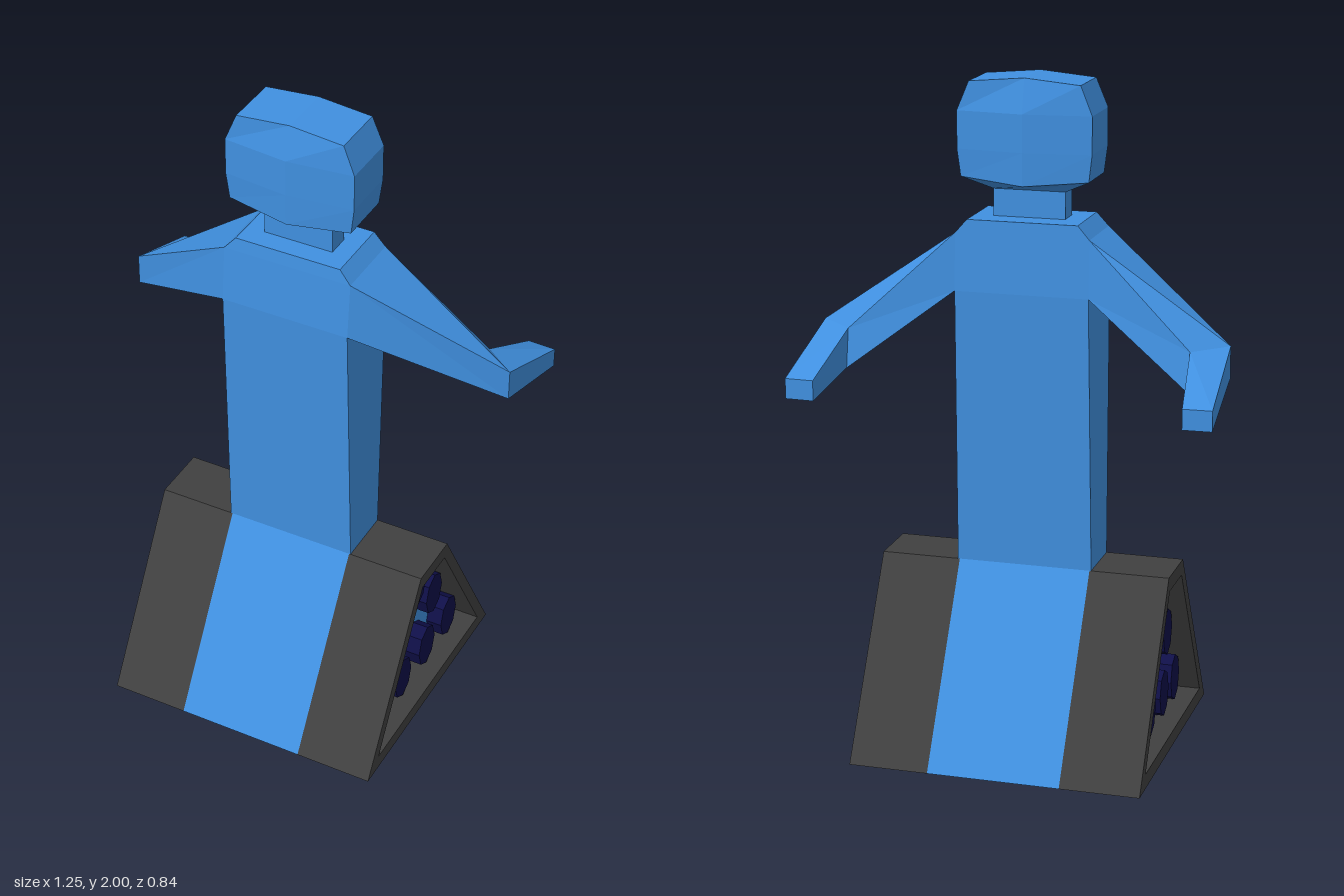
import * as THREE from 'three';

const mat = (color, side = THREE.FrontSide) =>
  new THREE.MeshStandardMaterial({ color, flatShading: true, side });
const blue = mat(0x4090e0);
const dark = mat(0x404040);
const navy = mat(0x0f0f48);

// Skin a list of cross-sections (counterclockwise seen from the end) and cap both ends
function loft(rings, flip = false) {
  const pos = [];
  const tri = (a, b, c) => pos.push(...a, ...(flip ? c : b), ...(flip ? b : c));
  const n = rings[0].length;
  for (let k = 0; k < rings.length - 1; k++) {
    const lo = rings[k], hi = rings[k + 1];
    for (let i = 0; i < n; i++) {
      const j = (i + 1) % n;
      tri(lo[i], lo[j], hi[j]);
      tri(lo[i], hi[j], hi[i]);
    }
  }
  const first = rings[0], last = rings[rings.length - 1];
  for (let i = 0; i < n - 2; i++) {
    tri(first[n - 1], first[i + 1], first[i]);
    tri(last[n - 1], last[i], last[i + 1]);
  }
  const g = new THREE.BufferGeometry();
  g.setAttribute('position', new THREE.Float32BufferAttribute(pos, 3));
  g.computeVertexNormals();
  return g;
}

// Trapezoid outline, extruded along x from x0 to x1
const trapezoid = (Type, y0, z0, y1, z1) => new Type(
  [[-z0, y0], [z0, y0], [z1, y1], [-z1, y1]].map(p => new THREE.Vector2(...p)));
function extrudeX(shape, x0, x1) {
  return new THREE.ExtrudeGeometry(shape, { depth: x1 - x0, bevelEnabled: false })
    .rotateY(Math.PI / 2).translate(x0, 0, 0);
}

export function createModel() {
  const model = new THREE.Group();
  const add = (name, geometry, material, parent = model) => {
    const mesh = new THREE.Mesh(geometry, material);
    mesh.name = name;
    parent.add(mesh);
    return mesh;
  };

  // Base: blue middle, hollow dark ends closed by a recessed blue panel
  const outer = () => trapezoid(THREE.Shape, 0, 0.42, 0.555, 0.09);
  add('baseMiddle', extrudeX(outer(), -0.2, 0.2), blue);
  const wheels = [[0, 0.425], [0.12, 0.31], [-0.12, 0.31],
    [0.225, 0.125], [0.085, 0.125], [-0.08, 0.125], [-0.235, 0.125]];
  for (const s of [1, -1]) {
    const track = new THREE.Group();
    track.name = s > 0 ? 'leftTrack' : 'rightTrack';
    model.add(track);
    const rim = outer();
    rim.holes.push(trapezoid(THREE.Path, 0.045, 0.35, 0.51, 0.075));
    const panel = trapezoid(THREE.Shape, 0.045, 0.35, 0.51, 0.075);
    const span = (a, b) => (s > 0 ? [a, b] : [-b, -a]);
    add('trackShell', extrudeX(rim, ...span(0.2, 0.44)), dark, track);
    add('trackPanel', extrudeX(panel, ...span(0.2, 0.34)), blue, track);
    for (const [z, y] of wheels) {
      const wheel = new THREE.CylinderGeometry(0.055, 0.055, 0.06, 8)
        .rotateZ(Math.PI / 2).scale(1, 1.34, 1).translate(s * 0.36, y, z);
      add('wheel', wheel, navy, track);
    }
  }

  // Torso: half width, height, front z, back z
  add('torso', loft([
    [0.205, 0.555, 0.09, -0.09],
    [0.2, 1.38, 0.12, -0.12],
    [0.2, 1.55, 0.105, -0.112],
    [0.165, 1.59, 0.1, -0.11],
  ].map(([w, y, f, b]) => [[w, y, f], [w, y, b], [-w, y, b], [-w, y, f]])), blue);

  // Arms: shoulder, elbow and hand sections, mirrored
  const arm = [
    [[0.2, 1.38, 0.12], [0.2, 1.38, -0.12], [0.2, 1.55, -0.112], [0.2, 1.55, 0.105]],
    [[0.61, 1.17, -0.09], [0.51, 1.145, -0.19], [0.51, 1.26, -0.17], [0.61, 1.265, -0.09]],
    [[0.625, 1.095, -0.387], [0.54, 1.095, -0.39], [0.54, 1.155, -0.39], [0.625, 1.155, -0.387]],
  ];
  for (const s of [1, -1]) {
    const rings = arm.map(r => r.map(([x, y, z]) => [s * x, y, z]));
    add(s > 0 ? 'leftArm' : 'rightArm', loft(rings, s < 0), blue);
  }

  // Neck
  add('neck', new THREE.BoxGeometry(0.215, 0.1, 0.07).translate(0, 1.63, 0), blue);

  // Head: half width, corner y, corner z, centre y, centre z
  add('head', loft([
    [0.108, 1.67, 0.035, 1.67, 0.035],
    [0.19, 1.71, 0.085, 1.693, 0.108],
    [0.2, 1.79, 0.088, 1.79, 0.11],
    [0.2, 1.9, 0.088, 1.9, 0.11],
    [0.165, 1.985, 0.085, 2, 0.085],
  ].map(([w, y, z, cy, cz]) => [
    [w, y, z], [w, y, -z], [0, cy, -cz], [-w, y, -z], [-w, y, z], [0, cy, cz],
  ])), blue);

  return model;
}
